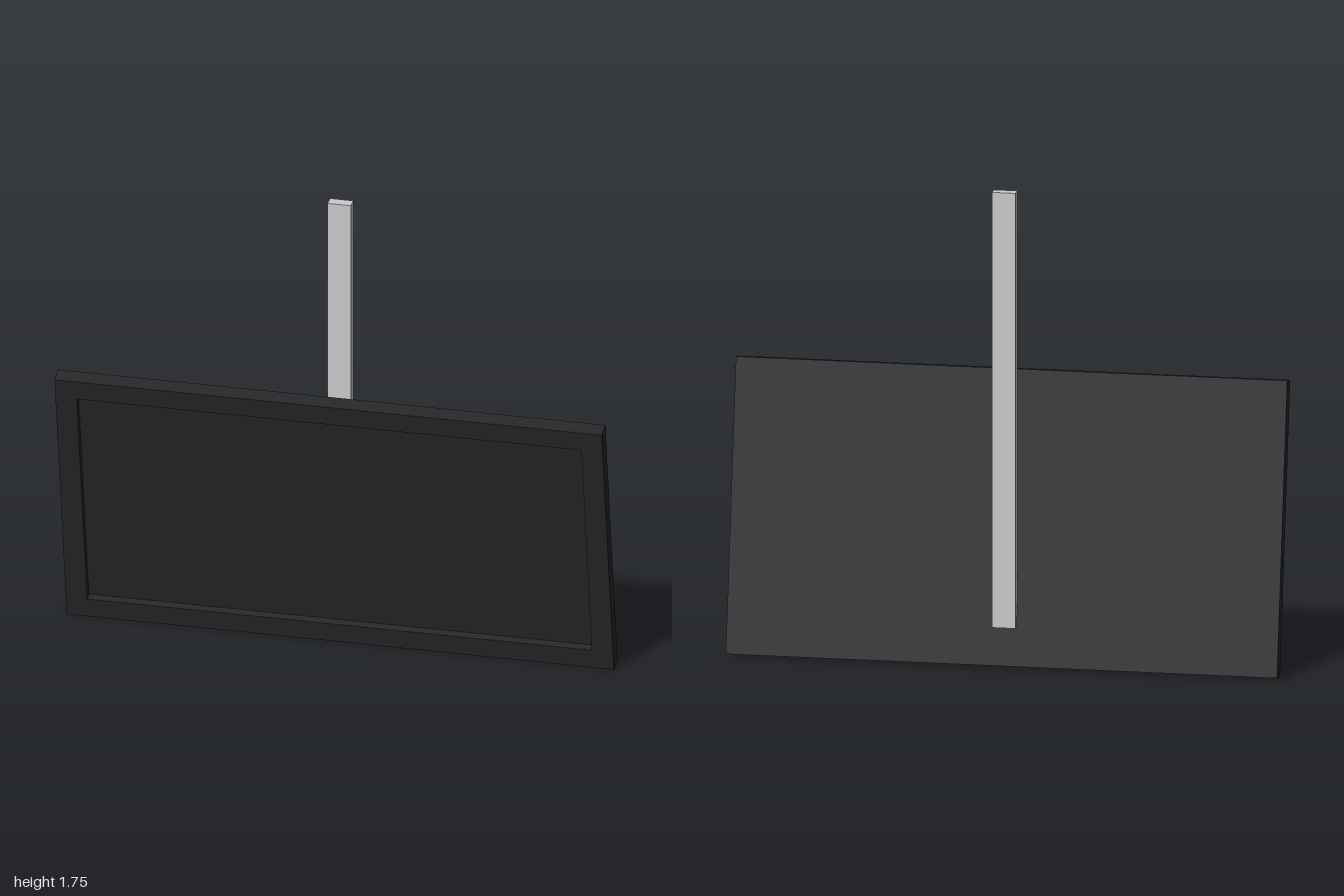
import * as THREE from 'three';

const W = 2, H = 1.064, T = 0.06;   // panel width, height, thickness
const BORDER = 0.078, RECESS = 0.03;
const TILT = THREE.MathUtils.degToRad(11);

const dark = new THREE.MeshStandardMaterial({ color: 0x272727 });
const grey = new THREE.MeshStandardMaterial({ color: 0xcccccc });

function addMesh(parent, name, geometry, material, x, y, z) {
  const mesh = new THREE.Mesh(geometry, material);
  mesh.name = name;
  mesh.position.set(x, y, z);
  parent.add(mesh);
  return mesh;
}

function rectangle(target, w, h) {
  target.moveTo(-w / 2, -h / 2);
  target.lineTo(w / 2, -h / 2);
  target.lineTo(w / 2, h / 2);
  target.lineTo(-w / 2, h / 2);
  target.closePath();
  return target;
}

export function createModel() {
  const model = new THREE.Group();
  model.name = 'hangingScreen';

  // Panel leaning forward, its lower front edge resting at y = 0
  const panel = new THREE.Group();
  panel.name = 'panel';
  panel.rotation.x = TILT;
  panel.position.y = (H * Math.cos(TILT) + T * Math.sin(TILT)) / 2;
  model.add(panel);

  // Raised border around the recessed screen
  const outline = rectangle(new THREE.Shape(), W, H);
  outline.holes.push(rectangle(new THREE.Path(), W - 2 * BORDER, H - 2 * BORDER));
  const frame = new THREE.ExtrudeGeometry(outline, { depth: RECESS, bevelEnabled: false });
  addMesh(panel, 'frame', frame, dark, 0, 0, T / 2 - RECESS);

  // Back slab whose front face is the screen
  const slab = new THREE.BoxGeometry(W, H, T - RECESS);
  addMesh(panel, 'screen', slab, dark, 0, 0, -RECESS / 2);

  // Vertical post let into the back of the panel
  const post = new THREE.BoxGeometry(0.085, 1.6, 0.04);
  addMesh(model, 'post', post, grey, -0.007, 0.95, -0.105);

  return model;
}
